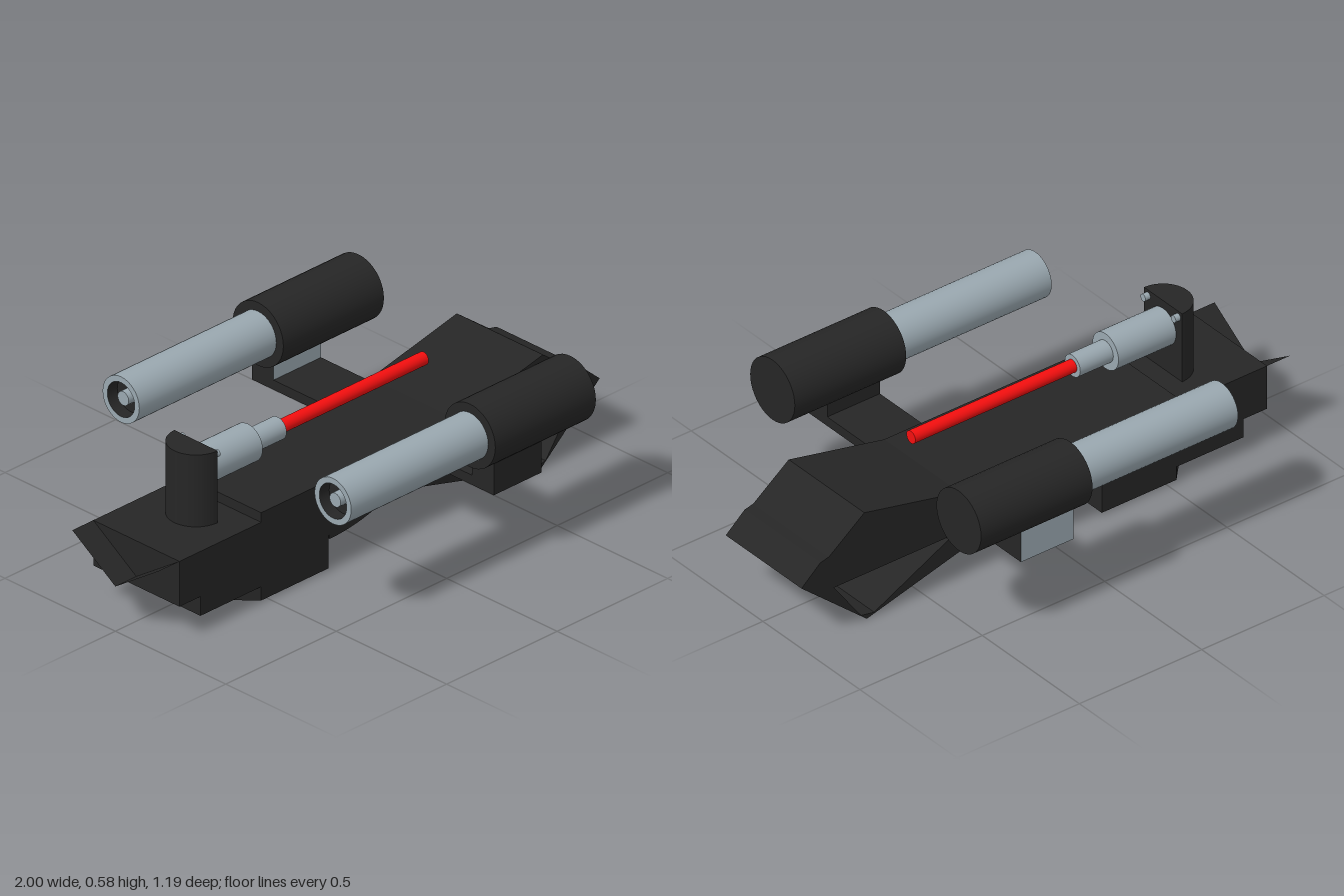
import * as THREE from 'three';

const mat = (color, side = THREE.FrontSide) => new THREE.MeshStandardMaterial({ color, side });
const W = 0.195; // half width of the hull

export function createModel() {
  const root = new THREE.Group();
  const dark = mat(0x262626);
  const steel = mat(0x9aa8b0);
  const red = mat(0xf50f0f);
  const darkOpen = mat(0x262626, THREE.DoubleSide);
  const steelOpen = mat(0x9aa8b0, THREE.DoubleSide);

  const add = (name, geometry, material, parent = root) => {
    const mesh = new THREE.Mesh(geometry, material);
    mesh.name = name;
    parent.add(mesh);
    return mesh;
  };
  const points = (list) => list.map(([x, y]) => new THREE.Vector2(x, y));
  // Rod along x, from x0 to x1
  const rod = (name, x0, x1, r, y, z, material, parent) => {
    const g = new THREE.CylinderGeometry(r, r, x1 - x0, 40).rotateZ(-Math.PI / 2);
    return add(name, g.translate((x0 + x1) / 2, y, z), material, parent);
  };
  // Plan outline (x, z) raised from y0 to y1
  const slab = (name, shape, y0, y1, material) => {
    const g = new THREE.ExtrudeGeometry(shape, { depth: y1 - y0, bevelEnabled: false, curveSegments: 24 });
    return add(name, g.rotateX(-Math.PI / 2).translate(0, y0, 0), material);
  };
  const box = (name, x0, x1, y0, y1, z0, z1, material, parent) => {
    const g = new THREE.BoxGeometry(x1 - x0, y1 - y0, z1 - z0);
    return add(name, g.translate((x0 + x1) / 2, (y0 + y1) / 2, (z0 + z1) / 2), material, parent);
  };

  // Hull side profile with arched belly and open triangular chin
  const side = new THREE.Shape();
  side.moveTo(-0.905, 0.13);
  side.lineTo(-0.225, 0.13);
  side.lineTo(-0.225, 0.115);
  side.quadraticCurveTo(-0.08, 0.115, 0.07, 0.177);
  for (const [x, y] of [[0.73, 0.002], [0.997, 0.23], [0.92, 0.297], [0.885, 0.305], [0.74, 0.415],
    [0.35, 0.33], [-0.535, 0.33], [-0.535, 0.295], [-0.905, 0.295]]) side.lineTo(x, y);
  side.closePath();
  side.holes.push(new THREE.Path(points([[0.375, 0.178], [0.865, 0.178], [0.752, 0.024], [0.7, 0.015]])));
  const hull = new THREE.ExtrudeGeometry(side, { depth: 2 * W, bevelEnabled: false, curveSegments: 12 });
  add('hull', hull.translate(0, 0, -W), dark);

  // Belly blocks, the deeper one tapering to the rear
  slab('bellyBlock', new THREE.Shape(points([
    [-0.23, -W], [-0.23, W], [-0.535, W], [-0.625, 0.1], [-0.625, -0.1], [-0.535, -W]])), 0.01, 0.135, dark);
  box('rearBellyBlock', -0.81, -0.535, 0.06, 0.135, -W, W, dark);

  // V-shaped tail trough: red inside, dark outside
  const a = [-1, 0.295], b = [-0.905, 0.295];
  for (const s of [1, -1]) {
    const panel = (name, flip, material) => {
      const quad = [[...a, s * W], [...b, s * W], [-0.905, 0.165, 0], [-1, 0.165, 0]];
      const g = new THREE.BufferGeometry();
      g.setAttribute('position', new THREE.Float32BufferAttribute(quad.flat(), 3));
      g.setIndex(flip ? [0, 2, 1, 0, 3, 2] : [0, 1, 2, 0, 2, 3]);
      g.computeVertexNormals();
      add(name, g, material);
    };
    panel('tailPanelInner', s > 0, red);
    panel('tailPanelOuter', s < 0, dark);
  }

  // Turret post: half cylinder with a flat front
  const half = new THREE.Shape();
  half.absarc(-0.635, 0, 0.098, Math.PI / 2, Math.PI * 1.5, false);
  half.closePath();
  slab('turretPost', half, 0.29, 0.557, dark);

  // Centre cannon
  const cannon = new THREE.Group();
  cannon.name = 'cannon';
  root.add(cannon);
  rod('cannonBreech', -0.64, -0.4, 0.067, 0.46, 0, steel, cannon);
  rod('cannonSleeve', -0.4, -0.265, 0.04, 0.46, 0, steel, cannon);
  rod('cannonBarrel', -0.265, 0.395, 0.023, 0.46, 0, red, cannon);
  for (const s of [1, -1]) rod('bolt', -0.64, -0.615, 0.013, 0.535, s * 0.078, steel, cannon);

  // Engines on L-shaped pylons
  for (const s of [1, -1]) {
    const engine = new THREE.Group();
    engine.name = s > 0 ? 'leftEngine' : 'rightEngine';
    root.add(engine);
    const z = s * 0.48, y = 0.467;
    rod('engineHousing', 0.125, 0.58, 0.115, y, z, dark, engine);
    const wall = points([[0.062, 0.1], [0.062, 0], [0.083, 0], [0.083, 0.63]]);
    // Separate outlines keep the rim crisp
    for (let i = 0; i < 3; i++) {
      const g = new THREE.LatheGeometry(wall.slice(i, i + 2), 40).rotateZ(-Math.PI / 2);
      add('exhaustTube', g.translate(-0.495, y, z), i === 0 ? darkOpen : steelOpen, engine);
    }
    rod('exhaustPlug', -0.45, -0.4, 0.062, y, z, dark, engine);
    rod('exhaustCore', -0.485, -0.44, 0.025, y, z, steel, engine);

    const lo = (p, q) => [Math.min(s * p, s * q), Math.max(s * p, s * q)];
    const skin = s > 0 ? dark : steel;
    box('pylonArm', 0.165, 0.38, 0.26, 0.295, ...lo(0.19, 0.548),
      [dark, dark, dark, skin, skin, skin], engine);
    box('pylonUpright', 0.165, 0.38, 0.29, 0.4, ...lo(0.45, 0.548),
      [dark, dark, dark, dark, skin, skin], engine);
  }
  return root;
}
